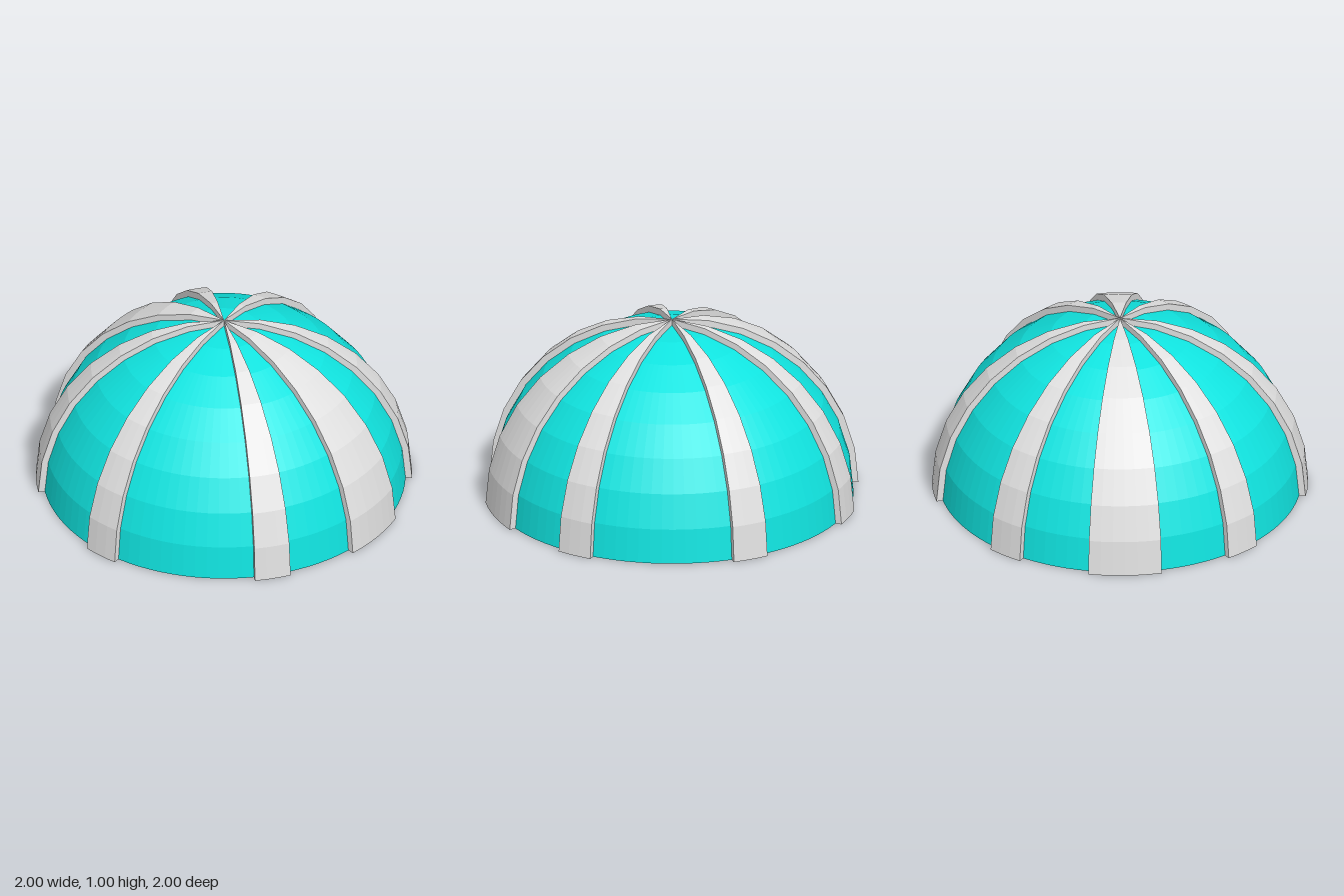
import * as THREE from 'three';
import { mergeGeometries } from 'three/addons/utils/BufferGeometryUtils.js';

const SEGMENTS = 32, BANDS = 8;
const STEP = (Math.PI * 2) / SEGMENTS;
const DOME_R = 0.965, RIB_R = 1;
// Segments raised into ribs, counted from +x towards -z
const RIBS = [0, 3, 8, 12, 15, 16, 19, 23, 28, 31];

// One faceted slice of the hemisphere, open towards the inside
const slice = (radius, k) =>
  new THREE.SphereGeometry(radius, 1, BANDS, Math.PI + k * STEP, STEP, 0, Math.PI / 2);

// Raised hollow rib: outer skin, two side walls and a foot
function ribGeometry(k) {
  const wall = (angle) =>
    new THREE.RingGeometry(DOME_R, RIB_R, BANDS, 1, 0, Math.PI / 2).rotateY(angle);
  const foot = new THREE.RingGeometry(DOME_R, RIB_R, 1, 1, k * STEP, STEP).rotateX(-Math.PI / 2);
  return mergeGeometries([slice(RIB_R, k), wall(k * STEP), wall((k + 1) * STEP), foot]);
}

export function createModel() {
  const model = new THREE.Group();
  model.name = 'ribbedDome';

  const teal = new THREE.MeshStandardMaterial({ color: 0x10e4e0, flatShading: true, side: THREE.DoubleSide });
  teal.name = 'teal';
  const grey = new THREE.MeshStandardMaterial({ color: 0xe0e0e0, flatShading: true, side: THREE.DoubleSide });
  grey.name = 'lightGrey';

  // Thin shell between the ribs
  const panels = [];
  for (let k = 0; k < SEGMENTS; k++) if (!RIBS.includes(k)) panels.push(slice(DOME_R, k));
  const dome = new THREE.Mesh(mergeGeometries(panels), teal);
  dome.name = 'domeShell';
  model.add(dome);

  // Ribs running from rim to crown
  const ribs = new THREE.Group();
  ribs.name = 'ribs';
  for (const k of RIBS) {
    const rib = new THREE.Mesh(ribGeometry(k), grey);
    rib.name = 'rib';
    ribs.add(rib);
  }
  model.add(ribs);
  return model;
}
